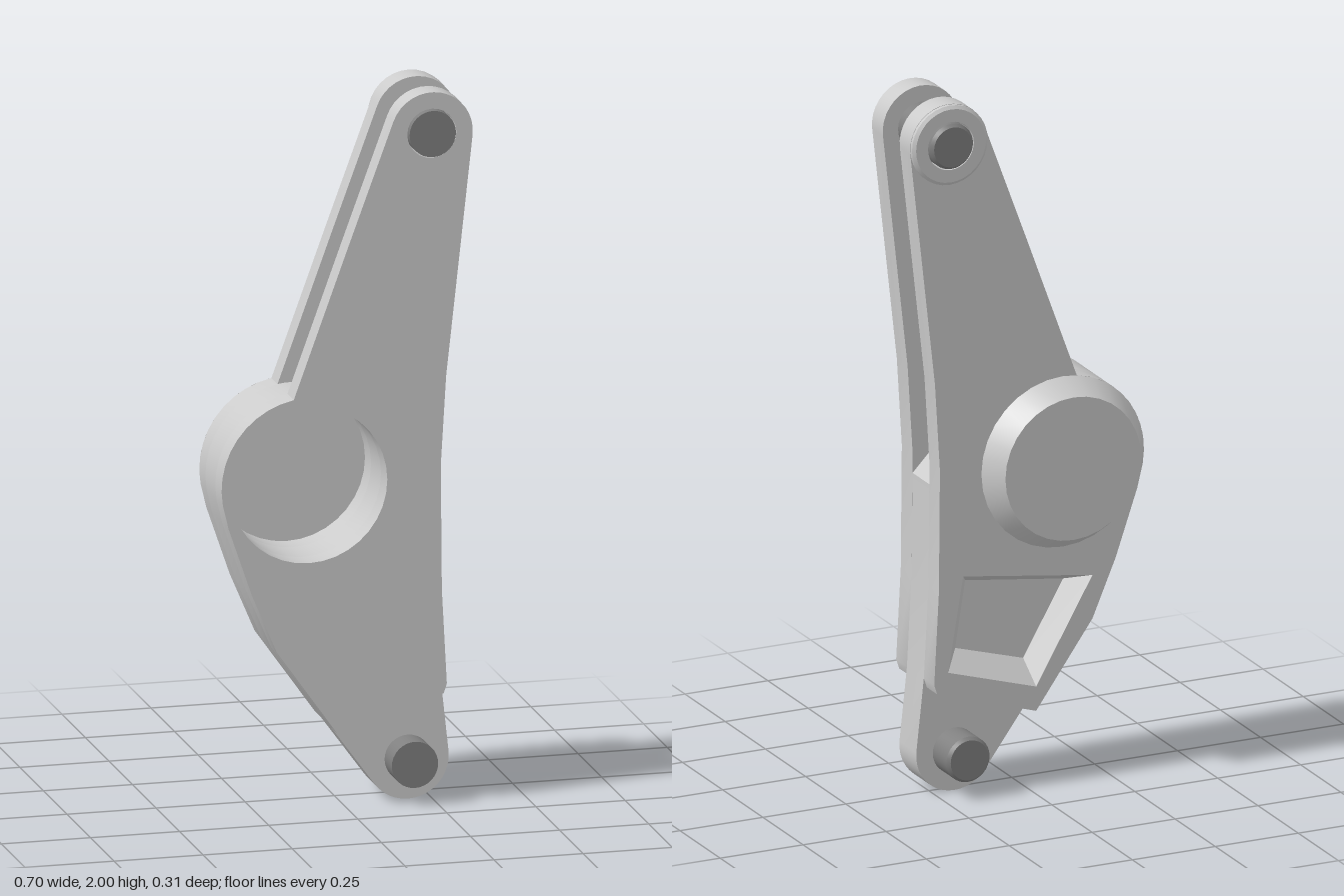
import * as THREE from 'three';
import { toCreasedNormals } from 'three/addons/utils/BufferGeometryUtils.js';

const grey = new THREE.MeshStandardMaterial({ color: 0xcccccc });
const dark = new THREE.MeshStandardMaterial({ color: 0x808080 });

// Key centres and layer depths
const HUB = [-0.11, 0.92], TOP = [0.235, 1.885], LOW = [0.185, 0.115];
const FRONT = 0.147, SLOT_FRONT = 0.08, SLOT_BACK = -0.025, BACK = -0.09;

const vec = (pts) => pts.map(([x, y]) => new THREE.Vector2(x, y));

// Points on an arc, angles in degrees
function arc([cx, cy], r, from, to, steps) {
  return Array.from({ length: steps + 1 }, (_, i) => {
    const a = THREE.MathUtils.degToRad(from + (to - from) * i / steps);
    return [cx + r * Math.cos(a), cy + r * Math.sin(a)];
  });
}

function mesh(name, geometry, material = grey) {
  const m = new THREE.Mesh(geometry, material);
  m.name = name;
  return m;
}

// Flat layer between two depths, with holes
function layer(name, outline, holes, z0, z1) {
  const shape = new THREE.Shape(vec(outline));
  holes.forEach((h) => shape.holes.push(new THREE.Path(vec(h))));
  const g = new THREE.ExtrudeGeometry(shape, { depth: z1 - z0, bevelEnabled: false });
  g.translate(0, 0, z0);
  return mesh(name, toCreasedNormals(g, 0.45));
}

// Turned part along z from [radius, z] points
function turned(name, [x, y], profile, material) {
  const g = new THREE.LatheGeometry(vec(profile), 32);
  g.rotateX(Math.PI / 2);
  const m = mesh(name, toCreasedNormals(g, 0.45), material);
  m.position.set(x, y, 0);
  return m;
}

// Tapered pocket: sloped walls and a floor, open to the back
function pocketLining(outer, inner, zOuter, zInner) {
  const pos = [...outer.map((p) => [...p, zOuter]), ...inner.map((p) => [...p, zInner])].flat();
  const n = outer.length, index = [4, 6, 5, 4, 7, 6];
  for (let i = 0; i < n; i++) {
    const j = (i + 1) % n;
    index.push(i, n + j, j, i, n + i, n + j);
  }
  let g = new THREE.BufferGeometry();
  g.setAttribute('position', new THREE.Float32BufferAttribute(pos, 3));
  g.setIndex(index);
  g = g.toNonIndexed();
  g.computeVertexNormals();
  return mesh('pocketLining', g);
}

export function createModel() {
  const group = new THREE.Group();

  // Shared edge: round the hub and down the curved side
  const hubSide = [
    ...arc(HUB, 0.245, 100, 190, 10),
    [-0.335, 0.81], [-0.27, 0.62], [-0.2, 0.455], [-0.03, 0.215],
  ];
  const recess = arc(HUB, 0.22, 0, 350, 35);
  const eye = arc(TOP, 0.069, 0, 345, 23);

  // Side plates forming the fork
  const plate = [
    ...hubSide,
    [0.268, 0.308], [0.277, 0.335], [0.263, 0.6], [0.26, 0.95], [0.275, 1.2],
    ...arc(TOP, 0.115, -6, 160, 16),
    [0, 1.58],
  ];
  const pocket = [[-0.2, 0.58], [-0.03, 0.285], [0.235, 0.365], [0.19, 0.635]];
  const pocketFloor = [[-0.14, 0.56], [-0.02, 0.35], [0.185, 0.41], [0.155, 0.6]];
  group.add(layer('frontPlate', plate, [recess, eye], SLOT_FRONT, FRONT));
  group.add(layer('backPlate', plate, [recess, eye, pocket], BACK, SLOT_BACK));
  group.add(pocketLining(pocket, pocketFloor, BACK, -0.03));

  // Core with the lower tongue and the sloped slot floor
  const core = [
    ...hubSide,
    ...arc(LOW, 0.115, 215, 365, 16),
    [0.277, 0.335], [0.263, 0.6], [0.26, 0.89],
    ...arc(HUB, 0.245, 44, 95, 6),
  ];
  group.add(layer('coreAndTongue', core, [recess], SLOT_BACK, SLOT_FRONT));

  // Hub cap closing the recess at the back
  group.add(turned('hubCap', HUB, [[0, -0.157], [0.205, -0.157], [0.245, BACK], [0, BACK]]));

  // Raised collar behind the fork eye
  group.add(turned('eyeCollar', TOP,
    [[0.069, BACK], [0.069, -0.107], [0.105, -0.107], [0.114, -0.1], [0.114, BACK]]));

  // Pivot pins
  const pin = [[0, -0.12], [0.057, -0.12], [0.065, -0.11], [0.065, 0.157], [0, 0.157]];
  group.add(turned('upperPin', TOP, pin, dark));
  group.add(turned('lowerPin', LOW, pin, dark));

  return group;
}
